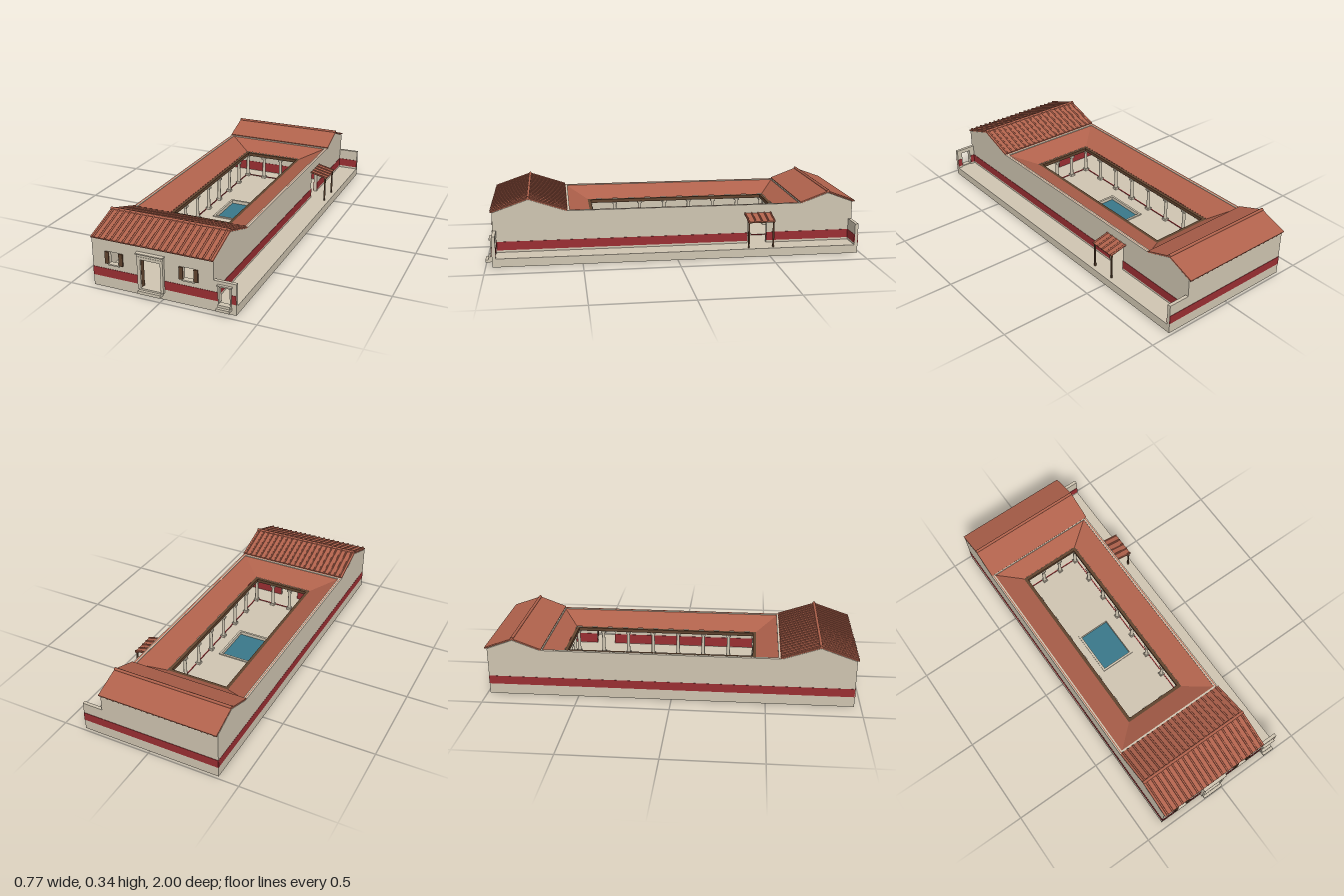
import * as THREE from 'three';

export function createModel() {
  const model = new THREE.Group();
  const mat = (name, color, side = THREE.FrontSide) => {
    const m = new THREE.MeshStandardMaterial({ color, side });
    m.name = name;
    return m;
  };
  const plaster = mat('plaster', 0xcfc5b1);
  const red = mat('red paint', 0x9a2e32);
  const tile = mat('terracotta', 0xb0624c, THREE.DoubleSide);
  const wood = mat('dark wood', 0x5f432e);
  const water = mat('water', 0x39788a, THREE.DoubleSide);

  const add = (name, geo, m, parent = model) => {
    const mesh = new THREE.Mesh(geo, m);
    mesh.name = name;
    parent.add(mesh);
    return mesh;
  };
  // Box given by its limits on each axis
  const box = (name, m, x0, x1, y0, y1, z0, z1, parent) => {
    const b = add(name, new THREE.BoxGeometry(x1 - x0, y1 - y0, z1 - z0), m, parent);
    b.position.set((x0 + x1) / 2, (y0 + y1) / 2, (z0 + z1) / 2);
    return b;
  };
  const poly = (pts) => new THREE.Shape(pts.map(([x, y]) => new THREE.Vector2(x, y)));
  const rect = (x0, x1, y0, y1) => [[x0, y0], [x1, y0], [x1, y1], [x0, y1]];
  // Wall from an outline with rectangular openings
  const wall = (name, outline, openings, depth) => {
    const s = poly(outline);
    openings.forEach((o) => s.holes.push(poly(rect(...o).reverse())));
    return add(name, new THREE.ExtrudeGeometry(s, { depth, bevelEnabled: false }), plaster);
  };

  const L = -0.385, R = 0.268, YARD = 0.383, F = 0.965, B = -0.985, FLOOR = 0.045, EAVE = 0.26;
  const POOL = [-0.14, 0.035, -0.16, 0.075];
  const COURT = [-0.235, 0.12, -0.6, 0.445];

  // Base slab with the pool opening
  const slab = wall('baseSlab', rect(L + 0.002, YARD, -F + 0.003, -B - 0.003),
    [[POOL[0], POOL[1], -POOL[3], -POOL[2]]], FLOOR);
  slab.rotation.x = -Math.PI / 2;
  box('poolWater', water, POOL[0], POOL[1], 0.026, 0.032, POOL[2], POOL[3]);
  [[POOL[0] - 0.012, POOL[0], POOL[2] - 0.012, POOL[3] + 0.012], [POOL[1], POOL[1] + 0.012, POOL[2] - 0.012, POOL[3] + 0.012],
    [POOL[0], POOL[1], POOL[2] - 0.012, POOL[2]], [POOL[0], POOL[1], POOL[3], POOL[3] + 0.012]]
    .forEach(([x0, x1, z0, z1]) => box('poolRim', plaster, x0, x1, FLOOR, 0.051, z0, z1));

  // Cross walls: front, two facing the court, back
  const DOOR = [-0.11, -0.003, FLOOR, 0.2];
  const WINDOWS = [[-0.29, -0.235], [0.112, 0.168]];
  const face = rect(L, R, 0, EAVE);
  wall('frontWall', face, [DOOR, ...WINDOWS.map(([a, b]) => [a, b, 0.135, 0.198])], 0.018).position.z = F - 0.018;
  wall('frontCourtWall', rect(L, R, 0.01, EAVE), [DOOR], 0.016).position.z = 0.56;
  wall('backCourtWall', rect(L, R, 0.01, EAVE), [], 0.016).position.z = -0.705;
  wall('backWall', face, [], 0.018).position.z = B;

  // Side walls with both gables; the right one has a doorway to the yard
  const side = [[B, 0], [F, 0], [F, EAVE], [0.775, 0.326], [0.58, EAVE], [-0.7, EAVE], [-0.845, 0.313], [B, EAVE]];
  const SIDE_DOOR = [-0.505, -0.4, FLOOR, 0.19];
  [['leftWall', L + 0.018, []], ['rightWall', R, [SIDE_DOOR]]].forEach(([name, x, holes]) => {
    const w = wall(name, side, holes, 0.018);
    w.rotation.y = -Math.PI / 2;
    w.position.x = x;
  });

  // Yard end walls
  const YARD_DOOR = [0.295, 0.355, FLOOR, 0.14];
  const yardFace = rect(R, YARD, 0, 0.163);
  wall('yardFrontWall', yardFace, [YARD_DOOR], 0.018).position.z = F - 0.018;
  wall('yardBackWall', yardFace, [], 0.018).position.z = B;

  // Painted red bands
  const Y0 = 0.057, Y1 = 0.103, T = 0.002;
  const bandX = (x0, x1, z, y0 = Y0) => box('redBand', red, x0, x1, y0, Y1, z - T, z + T);
  const bandZ = (z0, z1, x, y0 = Y0) => box('redBand', red, x - T, x + T, y0, Y1, z0, z1);
  bandX(L, -0.128, F);
  bandX(0.011, 0.293, F);
  bandX(0.358, YARD, F);
  bandX(L, YARD, B);
  bandX(R, YARD, B + 0.018);
  bandX(R, 0.293, F - 0.018);
  bandX(0.358, YARD, F - 0.018);
  bandZ(B + 0.002, F - 0.002, L + 0.001);
  bandZ(B + 0.018, SIDE_DOOR[0], R);
  bandZ(SIDE_DOOR[1], F - 0.018, R);
  // Bands around the portico
  bandX(L + 0.018, R - 0.018, -0.689, 0.047);
  bandX(L + 0.018, DOOR[0], 0.56, 0.047);
  bandX(DOOR[1], R - 0.018, 0.56, 0.047);
  bandZ(-0.689, 0.56, L + 0.018, 0.047);
  bandZ(-0.689, SIDE_DOOR[0], R - 0.018, 0.047);
  bandZ(SIDE_DOOR[1], 0.56, R - 0.018, 0.047);

  // Tiled gable roofs: slab, rows of cover tiles and a ridge tile
  const X0 = L, X1 = 0.27, MID = (X0 + X1) / 2;
  const slope = (parent, z1, y1, z2, y2) => {
    const len = Math.hypot(z2 - z1, y2 - y1);
    const g = new THREE.Group();
    g.name = 'roofSlope';
    g.position.set(MID, (y1 + y2) / 2, (z1 + z2) / 2);
    g.rotation.x = Math.atan2(y1 - y2, z2 - z1);
    parent.add(g);
    add('roofSlab', new THREE.BoxGeometry(X1 - X0, 0.007, len), tile, g);
    const n = 20, rib = new THREE.CylinderGeometry(0.0048, 0.0048, len, 8).rotateX(Math.PI / 2);
    for (let i = 0; i < n; i++) {
      add('coverTile', rib, tile, g).position.set((X1 - X0) * ((i + 0.5) / n - 0.5), 0.005, 0);
    }
  };
  const gable = (name, zBack, zRidge, zFront, yRidge) => {
    const g = new THREE.Group();
    g.name = name;
    model.add(g);
    slope(g, zBack, 0.263, zRidge, yRidge);
    slope(g, zRidge, yRidge, zFront, 0.263);
    const cap = add('ridgeTile', new THREE.CylinderGeometry(0.008, 0.008, X1 - X0, 8).rotateZ(Math.PI / 2), tile, g);
    cap.position.set(MID, yRidge + 0.004, zRidge);
  };
  gable('frontRoof', 0.574, 0.775, 0.973, 0.331);
  gable('backRoof', -0.694, -0.845, -0.998, 0.319);

  // Court roof: four mitred slopes falling inward to the opening
  const ring = ([x0, x1, z0, z1], y) => [[x0, y, z0], [x0, y, z1], [x1, y, z1], [x1, y, z0]];
  const outer = ring([L + 0.006, R - 0.006, -0.7, 0.574], 0.262), inner = ring(COURT, 0.2);
  for (let i = 0; i < 4; i++) {
    const j = (i + 1) % 4;
    const g = new THREE.BufferGeometry();
    g.setAttribute('position', new THREE.Float32BufferAttribute(
      [outer[i], outer[j], inner[j], outer[i], inner[j], inner[i]].flat(), 3));
    g.computeVertexNormals();
    add('courtRoof', g, tile);
  }

  // Eave beams and the painted line along the court edge
  const [cx0, cx1, cz0, cz1] = COURT;
  const edge = (name, m, y0, y1, w) => {
    [cx0, cx1 - w].forEach((x) => box(name, m, x, x + w, y0, y1, cz0, cz1));
    [cz0, cz1 - w].forEach((z) => box(name, m, cx0 + w, cx1 - w, y0, y1, z, z + w));
  };
  edge('eaveBeam', wood, 0.18, 0.199, 0.018);
  edge('courtEdgeLine', red, FLOOR, 0.049, 0.005);

  // Columns around the court
  const shaft = new THREE.CylinderGeometry(0.0085, 0.01, 0.12, 12);
  const column = (x, z) => {
    const g = new THREE.Group();
    g.name = 'column';
    g.position.set(x, 0, z);
    model.add(g);
    add('shaft', shaft, plaster, g).position.y = 0.115;
    box('columnBase', plaster, -0.013, 0.013, FLOOR, 0.057, -0.013, 0.013, g);
    box('capital', plaster, -0.013, 0.013, 0.171, 0.181, -0.013, 0.013, g);
  };
  const cols = [cx0 + 0.012, cx1 - 0.012], ends = [cz0 + 0.012, cz1 - 0.012];
  for (let i = 0; i < 8; i++) cols.forEach((x) => column(x, ends[0] + (ends[1] - ends[0]) * i / 7));
  for (let i = 1; i < 3; i++) ends.forEach((z) => column(cols[0] + (cols[1] - cols[0]) * i / 3, z));

  // Main door surround and steps
  box('doorJamb', plaster, -0.128, -0.11, 0.04, 0.213, F - 0.005, 0.982);
  box('doorJamb', plaster, -0.003, 0.011, 0.04, 0.213, F - 0.005, 0.982);
  box('doorLintel', plaster, -0.11, -0.003, 0.198, 0.213, F - 0.005, 0.982);
  box('doorFrieze', plaster, -0.128, 0.011, 0.213, 0.226, F - 0.005, 0.98);
  box('doorCornice', plaster, -0.133, 0.014, 0.226, 0.232, F - 0.005, 0.988);
  box('doorStep', plaster, -0.12, 0.001, 0.022, 0.038, F - 0.01, 1);
  box('doorStep', plaster, -0.112, -0.002, 0.038, 0.047, F - 0.01, 0.985);
  box('doorFrame', wood, -0.114, -0.109, FLOOR, 0.198, F - 0.018, 0.975);
  box('doorFrame', wood, -0.11, -0.003, 0.195, 0.199, F - 0.018, 0.97);

  // Yard door surround and steps
  [0.292, 0.353].forEach((x) => box('yardDoorJamb', plaster, x, x + 0.006, 0.05, 0.14, F - 0.018, 0.973));
  box('yardDoorCornice', plaster, 0.289, 0.363, 0.14, 0.147, F - 0.018, 0.979);
  box('yardDoorStep', plaster, 0.293, 0.36, 0.022, 0.036, F - 0.01, 1);
  box('yardDoorStep', plaster, 0.296, 0.357, 0.036, 0.049, F - 0.01, 0.985);

  // Windows with open shutters and sills
  WINDOWS.forEach(([a, b]) => {
    box('shutter', wood, a - 0.022, a, 0.133, 0.198, F, 0.972);
    box('shutter', wood, b, b + 0.022, 0.133, 0.198, F, 0.972);
    box('windowSill', plaster, a - 0.004, b + 0.004, 0.129, 0.136, F - 0.018, 0.976);
  });

  // Porch over the yard doorway
  const porch = new THREE.Group();
  porch.name = 'porch';
  model.add(porch);
  [-0.522, -0.388].forEach((z) => box('porchPost', wood, 0.353, 0.361, FLOOR, 0.189, z - 0.004, z + 0.004, porch));
  box('porchBeam', wood, 0.352, 0.362, 0.181, 0.189, -0.528, -0.382, porch);
  const canopy = new THREE.Group();
  canopy.name = 'porchRoof';
  canopy.position.set(0.318, 0.2, -0.455);
  canopy.rotation.z = -0.235;
  porch.add(canopy);
  add('porchSlab', new THREE.BoxGeometry(0.1, 0.004, 0.15), tile, canopy);
  const porchRib = new THREE.CylinderGeometry(0.0045, 0.0045, 0.1, 8).rotateZ(Math.PI / 2);
  for (let i = 0; i < 5; i++) add('porchTile', porchRib, tile, canopy).position.set(0, 0.003, -0.07 + i * 0.035);

  return model;
}
